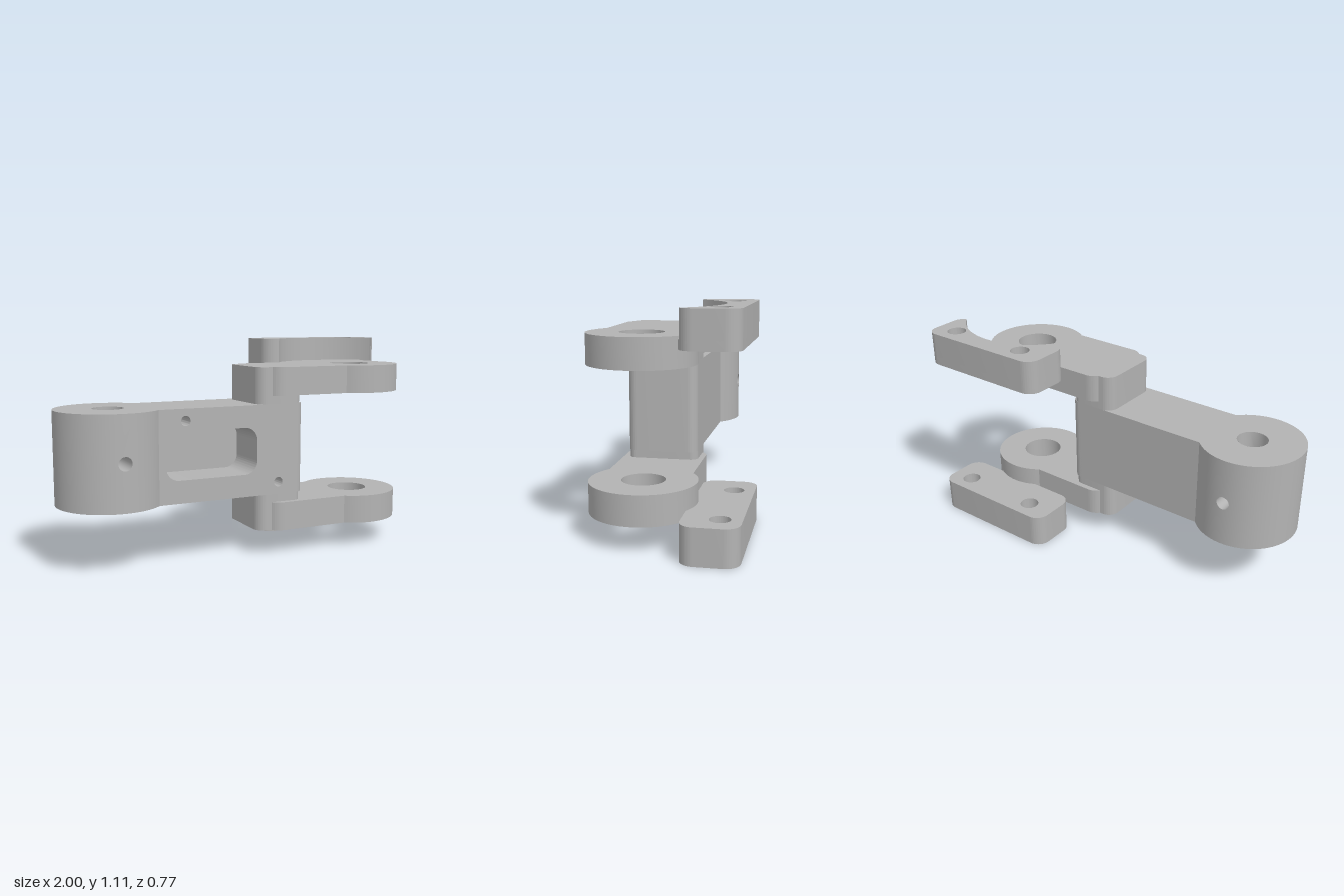
import * as THREE from 'three';
import { mergeGeometries, toCreasedNormals } from 'three/addons/utils/BufferGeometryUtils.js';

const CZ = 0.117;              // z of the link's centre line
const PI = Math.PI;

// Rounded rectangle; radii are [left corners, right corners]
function roundRect(path, x0, y0, x1, y1, rl, rr = rl) {
  path.moveTo(x0 + rl, y0);
  path.lineTo(x1 - rr, y0);
  if (rr) path.absarc(x1 - rr, y0 + rr, rr, -PI / 2, 0, false);
  else path.lineTo(x1, y0);
  path.lineTo(x1, y1 - rr);
  if (rr) path.absarc(x1 - rr, y1 - rr, rr, 0, PI / 2, false);
  else path.lineTo(x1, y1);
  path.lineTo(x0 + rl, y1);
  if (rl) path.absarc(x0 + rl, y1 - rl, rl, PI / 2, PI, false);
  else path.lineTo(x0, y1);
  path.lineTo(x0, y0 + rl);
  if (rl) path.absarc(x0 + rl, y0 + rl, rl, PI, 1.5 * PI, false);
  return path;
}

function circle(x, y, r) {
  return new THREE.Path().absarc(x, y, r, 0, 2 * PI, true);
}

function extrude(shape, depth) {
  const g = new THREE.ExtrudeGeometry(shape, { depth, bevelEnabled: false, curveSegments: 32 });
  return toCreasedNormals(g, 0.5);
}

// Extrudes a plan outline (x, -z) upwards from y0 to y1
function plan(shape, y0, y1) {
  return extrude(shape, y1 - y0).rotateX(-PI / 2).translate(0, y0, 0);
}

// Cylindrical wall with a round cross hole at the front and the back
function drilledWall(r, h, hole, half) {
  const parts = [];
  for (const start of [half, PI + half]) {
    parts.push(new THREE.CylinderGeometry(r, r, h, 40, 1, true, start, PI - 2 * half));
  }
  const n = 12, outline = [], ring = [];
  for (let i = 0; i <= n; i++) outline.push(new THREE.Vector2((2 * i / n - 1) * half, -h / 2));
  for (let i = n; i >= 0; i--) outline.push(new THREE.Vector2((2 * i / n - 1) * half, h / 2));
  for (let i = 0; i < 24; i++) {
    const t = -i / 24 * 2 * PI;
    ring.push(new THREE.Vector2(Math.asin(hole * Math.cos(t) / r), hole * Math.sin(t)));
  }
  const shape = new THREE.Shape(outline);
  shape.holes.push(new THREE.Path(ring));
  const panel = new THREE.ShapeGeometry(shape);
  const p = panel.attributes.position, nor = panel.attributes.normal;
  for (let i = 0; i < p.count; i++) {
    const a = p.getX(i);
    p.setXYZ(i, r * Math.sin(a), p.getY(i), r * Math.cos(a));
    nor.setXYZ(i, Math.sin(a), 0, Math.cos(a));
  }
  parts.push(panel, panel.clone().rotateY(PI));
  return mergeGeometries(parts);
}

// Short tube joining the bore to the outer wall
function crossHole(inner, outer, r) {
  const g = new THREE.CylinderGeometry(r, r, 1, 24, 1, true).rotateX(PI / 2);
  const p = g.attributes.position;
  for (let i = 0; i < p.count; i++) {
    const R = p.getZ(i) > 0 ? outer : inner;
    p.setZ(i, Math.sqrt(R * R - p.getX(i) ** 2));
  }
  return g;
}

export function createModel() {
  const model = new THREE.Group();
  model.name = 'hingeLink';
  const steel = new THREE.MeshStandardMaterial({ color: 0xb3b3b3, side: THREE.DoubleSide });
  steel.name = 'grey steel';
  const add = (name, geometry, parent = model) => {
    const mesh = new THREE.Mesh(geometry, steel);
    mesh.name = name;
    parent.add(mesh);
    return mesh;
  };

  const yLow = 0.32, yHigh = 0.787, midY = (yLow + yHigh) / 2;
  const zBack = CZ - 0.182, zFront = CZ + 0.182;

  // Large pivot boss with bore and cross drilling
  const boss = new THREE.Group();
  boss.name = 'pivotBoss';
  boss.position.set(-0.734, midY, CZ);
  model.add(boss);
  const R = 0.266, bore = 0.078, h = yHigh - yLow, pin = 0.034;
  add('bossWall', drilledWall(R, h, pin, 0.2), boss);
  add('bossBore', drilledWall(bore, h, pin, 0.65), boss);
  for (const s of [1, -1]) {
    add('bossCap', new THREE.RingGeometry(bore, R, 80).rotateX(-s * PI / 2).translate(0, s * h / 2, 0), boss);
    add('crossHole', crossHole(bore, R, pin).rotateY(s > 0 ? 0 : PI), boss);
  }

  // Arm: pierced front slab over a solid back slab gives the blind pocket
  const pocket = 0.24;
  const front = roundRect(new THREE.Shape(), -0.58, yLow, 0.215, yHigh, 0);
  front.holes.push(
    roundRect(new THREE.Path(), -0.505, 0.435, -0.01, 0.675, 0.07),
    circle(-0.4, 0.727, 0.025),
    circle(0.115, 0.383, 0.025));
  add('armFront', extrude(front, pocket).translate(0, 0, zFront - pocket));
  const back = roundRect(new THREE.Shape(), -0.58, yLow, 0.215, yHigh, 0);
  add('armBack', extrude(back, 0.365 - pocket).translate(0, 0, zBack));
  add('armEnd', plan(roundRect(new THREE.Shape(), 0.2, -zFront, 0.265, -zBack, 0, 0.05), yLow, yHigh));

  // Forks: neck block plus eye plate, above and below the arm
  const neck = roundRect(new THREE.Shape(), 0, -zFront, 0.25, -zBack, 0.06, 0.04);
  const eyeX = 0.655, eyeR = 0.26, w = 0.211, c = 0.08, x0 = 0.06;
  const a = Math.asin(w / eyeR);
  const plate = new THREE.Shape();
  plate.moveTo(x0 + c, -CZ - w);
  plate.absarc(eyeX, -CZ, eyeR, -PI + a, PI - a, false);
  plate.absarc(x0 + c, -CZ + w - c, c, PI / 2, PI, false);
  plate.absarc(x0 + c, -CZ - w + c, c, PI, 1.5 * PI, false);
  plate.holes.push(circle(eyeX, -CZ, 0.106));
  add('upperNeck', plan(neck, yHigh, 0.975));
  add('lowerNeck', plan(neck, 0.13, yLow));
  add('upperForkPlate', plan(plate, 0.83, 0.975));
  add('lowerForkPlate', plan(plate, 0.13, 0.278));

  // Mounting lugs behind the forks
  const drill = (shape) => {
    shape.holes.push(circle(0.415, 0.282, 0.05), circle(0.873, 0.282, 0.05));
    return shape;
  };
  const lug = drill(roundRect(new THREE.Shape(), 0.255, 0.11, 1, 0.384, 0.07));
  add('lowerLug', plan(lug, 0, 0.177));
  add('upperLugBase', plan(lug, 0.93, 0.974));

  // Upper lug top, relieved by an arc around the eye
  const cut = new THREE.Shape();
  cut.moveTo(0.325, 0.11);
  cut.absarc(eyeX, -CZ, 0.39, 2.52, 0.652, true);
  cut.absarc(0.93, 0.18, 0.07, -1.046, 0, false);
  cut.absarc(0.93, 0.314, 0.07, 0, PI / 2, false);
  cut.absarc(0.325, 0.314, 0.07, PI / 2, PI, false);
  cut.absarc(0.325, 0.18, 0.07, PI, 1.5 * PI, false);
  add('upperLugTop', plan(drill(cut), 0.974, 1.106));

  return model;
}
